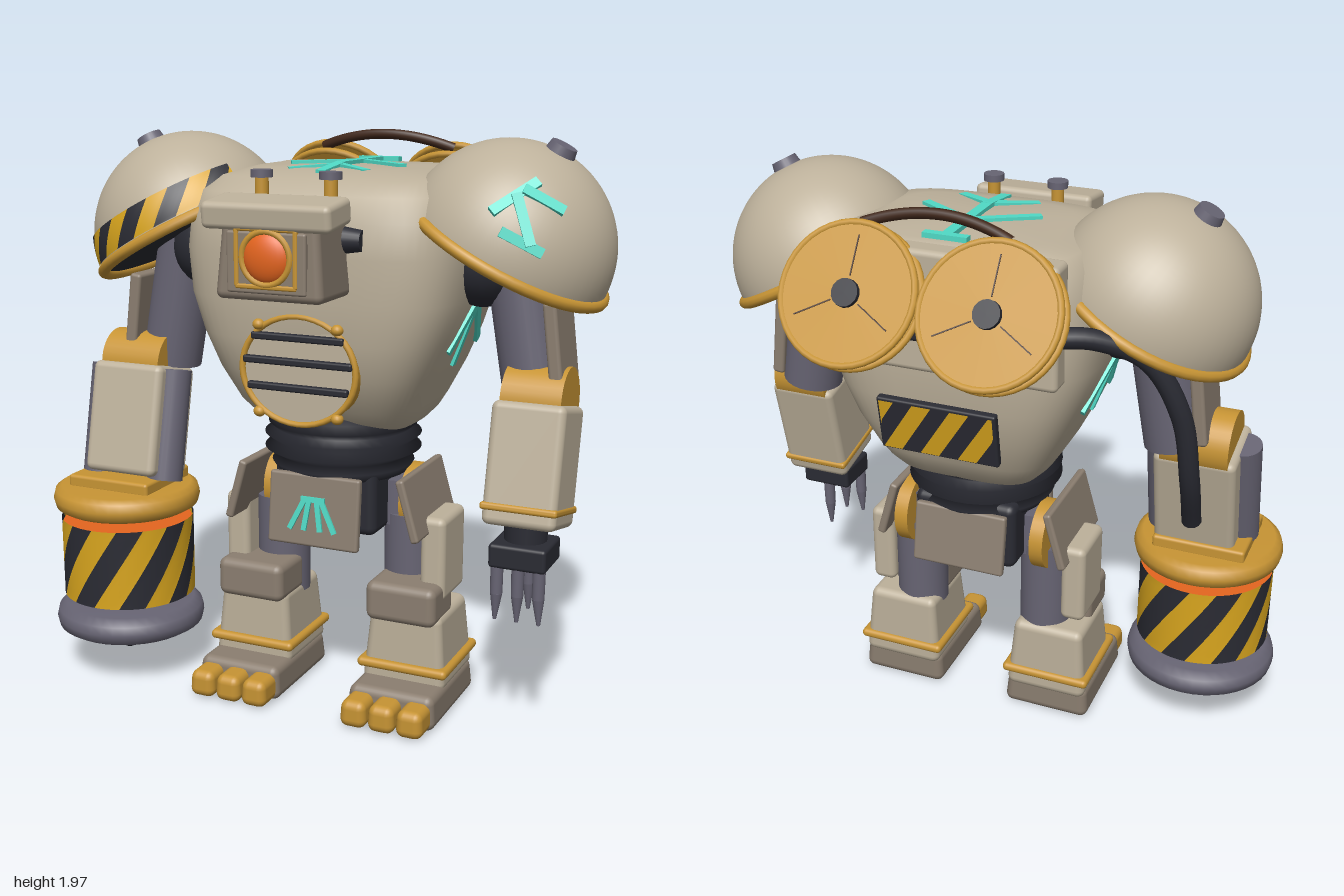
import * as THREE from 'three';
import { RoundedBoxGeometry } from 'three/addons/geometries/RoundedBoxGeometry.js';

const mat = (name, color, side = THREE.FrontSide) => {
  const m = new THREE.MeshStandardMaterial({ color, side });
  m.name = name;
  return m;
};
const V = (x, y, z) => new THREE.Vector3(x, y, z);
const UP = V(0, 1, 0), FRONT = V(0, 0, 1);

export function createModel() {
  const shell = mat('shell beige', 0xbdb19b), panel = mat('panel taupe', 0x8b7e70);
  const gold = mat('gold', 0xc79434, THREE.DoubleSide), dark = mat('charcoal', 0x2a2b33, THREE.DoubleSide);
  const yellow = mat('warning yellow', 0xd8a51e, THREE.DoubleSide);
  const steel = mat('steel', 0x676473), orange = mat('orange', 0xe5651f);
  const teal = mat('teal', 0x50dac6), brown = mat('brown', 0x40271a);

  const model = new THREE.Group();
  model.name = 'robot';
  const body = new THREE.Group();
  body.name = 'body';
  body.position.x = 0.067;
  model.add(body);

  const add = (parent, name, geo, m, x = 0, y = 0, z = 0) => {
    const mesh = new THREE.Mesh(geo, m);
    mesh.name = name;
    mesh.position.set(x, y, z);
    parent.add(mesh);
    return mesh;
  };
  const group = (parent, name, x = 0, y = 0, z = 0) => {
    const g = new THREE.Group();
    g.name = name;
    g.position.set(x, y, z);
    parent.add(g);
    return g;
  };
  // Rounded box, optionally tapered towards the top
  const rbox = (w, h, d, r = 0.02, top = 1) => {
    const g = new RoundedBoxGeometry(w, h, d, 3, r), p = g.attributes.position;
    for (let i = 0; i < p.count; i++) {
      const k = 1 + (top - 1) * (p.getY(i) / h + 0.5);
      p.setX(i, p.getX(i) * k);
      p.setZ(i, p.getZ(i) * k);
    }
    return g;
  };
  const cyl = (r1, r2, h, n = 32) => new THREE.CylinderGeometry(r1, r2, h, n);
  const rod = (parent, name, m, a, b, r1, r2 = r1) => {
    const mesh = add(parent, name, cyl(r2, r1, a.distanceTo(b), 24), m);
    mesh.position.copy(a).lerp(b, 0.5);
    mesh.quaternion.setFromUnitVectors(UP, b.clone().sub(a).normalize());
  };
  // Flat glowing bar from a to b, facing along the surface normal n
  const mark = (parent, a, b, n, t) => {
    const mesh = add(parent, 'glowMark', new THREE.BoxGeometry(t, a.distanceTo(b) + t * 0.4, 0.022), teal);
    const y = b.clone().sub(a).normalize(), x = y.clone().cross(n).normalize();
    mesh.position.copy(a).lerp(b, 0.5);
    mesh.quaternion.setFromRotationMatrix(new THREE.Matrix4().makeBasis(x, y, x.clone().cross(y)));
  };
  const lathe = (pts) => new THREE.LatheGeometry(pts.map(([r, y]) => new THREE.Vector2(r, y)), 40);

  // Diagonal two-colour stripes on any surface fn(u, v)
  const stripes = (parent, name, fn, n, shear, clamp) => {
    [yellow, dark].forEach((m, k) => {
      const pos = [], idx = [], nu = 4, nv = 10;
      for (let i = clamp ? k - 2 * n : k; i < n; i += 2) {
        const base = pos.length / 3;
        for (let a = 0; a <= nu; a++) for (let b = 0; b <= nv; b++) {
          let u = (i + a / nu) / n + shear * b / nv;
          if (clamp) u = Math.min(1, Math.max(0, u));
          pos.push(...fn(u, b / nv).toArray());
          if (a < nu && b < nv) {
            const q = base + a * (nv + 1) + b, r = q + nv + 1;
            idx.push(q, r, r + 1, q, r + 1, q + 1);
          }
        }
      }
      const g = new THREE.BufferGeometry();
      g.setAttribute('position', new THREE.Float32BufferAttribute(pos, 3));
      g.setIndex(idx);
      g.computeVertexNormals();
      add(parent, name, g, m);
    });
  };

  // Torso: superellipse rings [y, halfWidth, back, front]
  const rings = [[0.975, 0.01, 0, 0.02], [0.975, 0.2, -0.19, 0.12], [0.99, 0.255, -0.23, 0.17], [1.03, 0.295, -0.262, 0.245],
    [1.08, 0.325, -0.295, 0.3], [1.2, 0.385, -0.345, 0.36], [1.32, 0.435, -0.37, 0.39], [1.45, 0.478, -0.382, 0.4],
    [1.6, 0.49, -0.385, 0.405], [1.71, 0.48, -0.38, 0.395], [1.79, 0.455, -0.365, 0.36], [1.835, 0.41, -0.34, 0.28],
    [1.86, 0.31, -0.3, 0.17], [1.866, 0.01, -0.02, 0]];
  const N = 56, tp = [], ti = [];
  rings.forEach(([y, w, b, f], j) => {
    for (let i = 0; i < N; i++) {
      const a = i / N * Math.PI * 2, s = Math.sin(a), c = Math.cos(a), e = 0.5;
      tp.push(w * Math.sign(s) * Math.abs(s) ** e, y, (b + f) / 2 + (f - b) / 2 * Math.sign(c) * Math.abs(c) ** e);
      const q = j * N + i, r = j * N + (i + 1) % N;
      if (j < rings.length - 1) ti.push(q, r, r + N, q, r + N, q + N);
    }
  });
  const torso = new THREE.BufferGeometry();
  torso.setAttribute('position', new THREE.Float32BufferAttribute(tp, 3));
  torso.setIndex(ti);
  torso.computeVertexNormals();
  add(body, 'torso', torso, shell);
  add(body, 'backPlate', rbox(0.82, 0.41, 0.1, 0.02), shell, 0, 1.645, -0.34);

  // Torso markings
  mark(body, V(-0.07, 1.866, -0.285), V(0.07, 1.866, -0.285), UP, 0.03);
  mark(body, V(0, 1.866, -0.28), V(0, 1.868, 0.05), UP, 0.036);
  mark(body, V(0, 1.868, 0.05), V(0, 1.85, 0.21), UP, 0.036);
  for (const s of [1, -1]) {
    mark(body, V(0, 1.866, -0.12), V(s * 0.2, 1.862, 0.01), UP, 0.03);
    mark(body, V(0, 1.864, 0.075), V(s * 0.135, 1.852, 0.165), UP, 0.03);
    for (const [z, y, x] of [[-0.15, 1.28, 0.417], [0.02, 1.22, 0.393], [0.13, 1.28, 0.417]])
      mark(body, V(s * 0.476, 1.44, 0.02), V(s * x, y, z), V(s, -0.3, 0), 0.028);
  }

  // Chest grille
  const grille = group(body, 'grille', 0, 1.228, -0.01);
  grille.scale.y = 0.88;
  add(grille, 'grilleHousing', new THREE.CylinderGeometry(0.205, 0.205, 0.2, 40, 1, true), gold, 0, 0, 0.3).rotation.x = Math.PI / 2;
  add(grille, 'grilleFace', cyl(0.2, 0.2, 0.02), shell, 0, 0, 0.392).rotation.x = Math.PI / 2;
  add(grille, 'grilleRim', new THREE.TorusGeometry(0.203, 0.011, 10, 40), gold, 0, 0, 0.402);
  [[0.124, 0.165], [0.033, 0.195], [-0.065, 0.18]].forEach(([y, w]) =>
    add(grille, 'grilleBar', rbox(w * 2, 0.028, 0.03, 0.008), dark, 0, y, 0.405));
  for (const x of [-0.14, 0.14]) for (const y of [-0.165, 0.165])
    add(grille, 'grilleBolt', new THREE.SphereGeometry(0.021, 16, 10), gold, x, y, 0.405);

  // Head
  const head = group(body, 'head');
  add(head, 'headBox', rbox(0.37, 0.26, 0.3, 0.025, 0.88), panel, 0, 1.615, 0.46);
  add(head, 'visor', rbox(0.44, 0.085, 0.17, 0.02), shell, 0, 1.752, 0.545).rotation.x = 0.12;
  add(head, 'facePlate', rbox(0.27, 0.19, 0.02, 0.008), panel, 0, 1.605, 0.606);
  for (const s of [1, -1]) {
    add(head, 'eyeFrameSide', rbox(0.016, 0.18, 0.02, 0.006), gold, s * 0.1, 1.62, 0.61);
    add(head, 'eyeFrameBar', rbox(0.21, 0.016, 0.02, 0.006), gold, 0, 1.62 + s * 0.088, 0.61);
    add(head, 'antenna', cyl(0.022, 0.022, 0.14), gold, s * 0.12, 1.78, 0.4);
    add(head, 'antennaCap', cyl(0.036, 0.036, 0.024), steel, s * 0.12, 1.858, 0.4);
    add(head, 'ear', cyl(0.034, 0.045, 0.07, 20), dark, s * 0.19, 1.66, 0.39).rotation.z = -s * Math.PI / 2;
  }
  add(head, 'eyeRing', new THREE.TorusGeometry(0.082, 0.011, 10, 32), gold, 0, 1.62, 0.612);
  add(head, 'eye', new THREE.SphereGeometry(0.082, 28, 18), orange, 0, 1.62, 0.6).scale.z = 0.45;

  // Back reels, axles, handle and warning plate
  for (const s of [1, -1]) {
    const reel = group(body, 'reel', s * 0.235, 1.71, -0.485);
    reel.rotation.x = -1.02;
    for (const y of [-0.028, 0.028]) {
      add(reel, 'reelFlange', cyl(0.225, 0.225, 0.014, 40), gold, 0, y, 0);
      add(reel, 'reelRim', new THREE.TorusGeometry(0.225, 0.012, 8, 40), gold, 0, y, 0).rotation.x = Math.PI / 2;
    }
    add(reel, 'reelCore', cyl(0.14, 0.14, 0.05), gold);
    add(reel, 'reelHub', cyl(0.045, 0.052, 0.1, 16), dark);
    for (let i = 0; i < 3; i++) {
      const a = i * Math.PI * 2 / 3 + 0.5;
      add(reel, 'reelSlot', new THREE.BoxGeometry(0.13, 0.003, 0.004), brown, Math.cos(a) * 0.12, 0.036, -Math.sin(a) * 0.12).rotation.y = a;
    }
    rod(body, 'reelAxle', dark, V(s * 0.235, 1.62, -0.36), V(s * 0.235, 1.7, -0.47), 0.06);
  }
  add(body, 'reelMount', rbox(0.56, 0.1, 0.08, 0.015), dark, 0, 1.62, -0.41);
  const handle = new THREE.QuadraticBezierCurve3(V(-0.25, 1.905, -0.36), V(0, 2.0, -0.3), V(0.25, 1.905, -0.36));
  add(body, 'handle', new THREE.TubeGeometry(handle, 24, 0.018, 10), brown);
  const warn = group(body, 'warningPlate', 0, 1.235, -0.37);
  warn.rotation.x = -0.17;
  add(warn, 'warningBacking', rbox(0.42, 0.2, 0.03, 0.008), dark);
  stripes(warn, 'warningStripes', (u, v) => V(0.2 - 0.4 * u, -0.092 + 0.184 * v, -0.018), 6, 0.3, true);

  // Waist bellows, pelvis and skirt plates
  add(body, 'waist', lathe([[0, 0.82], [0.23, 0.82], [0.25, 0.85], [0.23, 0.875], [0.275, 0.9], [0.24, 0.925], [0.275, 0.95],
    [0.24, 0.97], [0.262, 0.99], [0.262, 1.025], [0.25, 1.06], [0, 1.06]]), dark, 0, 0, 0.03);
  add(body, 'pelvis', rbox(0.38, 0.25, 0.38, 0.03), dark, 0, 0.75, 0.01);
  const front = add(body, 'frontSkirt', rbox(0.335, 0.25, 0.03, 0.01), panel, 0, 0.72, 0.27);
  front.rotation.x = -0.1;
  for (const s of [1, -1]) {
    mark(front, V(s * 0.03, 0.04, 0.012), V(s * 0.082, -0.065, 0.012), FRONT, 0.018);
    mark(front, V(s * 0.014, 0.04, 0.012), V(s * 0.03, -0.065, 0.012), FRONT, 0.018);
  }
  mark(front, V(-0.04, 0.04, 0.012), V(0.04, 0.04, 0.012), FRONT, 0.018);
  add(body, 'backSkirt', rbox(0.34, 0.22, 0.03, 0.01), panel, 0, 0.74, -0.215).rotation.x = 0.17;

  // Legs
  for (const s of [1, -1]) {
    const leg = group(body, 'leg');
    add(leg, 'sideSkirt', rbox(0.03, 0.22, 0.38, 0.01), panel, s * 0.322, 0.745, 0.05).rotation.z = s * 0.28;
    add(leg, 'hipDisc', cyl(0.125, 0.125, 0.05), gold, s * 0.26, 0.718, -0.03).rotation.z = Math.PI / 2;
    add(leg, 'thigh', cyl(0.095, 0.095, 0.36), steel, s * 0.25, 0.5, 0.0);
    add(leg, 'thighTop', cyl(0.08, 0.08, 0.16), steel, s * 0.2, 0.72, 0.0);
    add(leg, 'thighGuard', rbox(0.09, 0.3, 0.22, 0.025), shell, s * 0.375, 0.55, 0.025);
    add(leg, 'knee', rbox(0.255, 0.14, 0.2, 0.03), panel, s * 0.288, 0.4, 0.115);
    add(leg, 'shin', rbox(0.305, 0.27, 0.32, 0.03, 0.85), shell, s * 0.292, 0.225, 0.03);
    add(leg, 'ankleBand', rbox(0.33, 0.034, 0.34, 0.016), gold, s * 0.292, 0.163, 0.033);
    add(leg, 'foot', rbox(0.325, 0.12, 0.43, 0.03, 0.94), panel, s * 0.292, 0.06, 0.095);
    for (const t of [-1, 0, 1])
      add(leg, 'toe', rbox(0.098, 0.095, 0.14, 0.03, 0.9), gold, s * 0.292 + t * 0.102, 0.052, 0.325);
  }

  // Shoulders and upper arms, shared by both sides
  const R = 0.35, cy = 1.617, cz = 0.04, cx = 0.58;
  for (const s of [1, -1]) {
    const dome = group(body, s > 0 ? 'leftShoulder' : 'rightShoulder', s * cx, cy, cz);
    dome.rotation.z = -s * 0.49;
    add(dome, 'shoulderDome', new THREE.SphereGeometry(R, 48, 24, 0, Math.PI * 2, 0, Math.PI / 2), shell);
    add(dome, 'shoulderUnderside', cyl(R - 0.005, R - 0.005, 0.01, 40), dark, 0, 0.006, 0);
    add(dome, 'shoulderRim', new THREE.TorusGeometry(R, 0.02, 10, 48), gold).rotation.x = Math.PI / 2;
    add(dome, 'shoulderKnob', cyl(0.044, 0.054, 0.05, 24), steel, 0, R, 0);
    if (s < 0) stripes(dome, 'shoulderStripes', (u, v) => {
      const a = -1.02 + 2.17 * u, e = 0.06 + 0.29 * v, r = R + 0.006;
      return V(r * Math.cos(e) * Math.sin(a), r * Math.sin(e), r * Math.cos(e) * Math.cos(a));
    }, 9, 0.13, true);
    add(body, 'shoulderJoint', new THREE.SphereGeometry(0.15, 24, 16), dark, s * 0.5, 1.57, 0.03);
    rod(body, 'upperArm', steel, V(s * 0.61, 1.6, 0.02), V(s * 0.69, 1.14, 0.03), 0.107);
    add(body, 'upperArmGuard', rbox(0.045, 0.3, 0.21, 0.012), panel, s * 0.775, 1.32, 0.055).rotation.z = s * 0.12;
  }

  // Left shoulder markings, laid on the dome
  const centre = V(cx, cy, cz);
  const onDome = (x, y) => V(x, y, cz + Math.sqrt(Math.max(0, 0.352 ** 2 - (x - cx) ** 2 - (y - cy) ** 2)));
  [[0.63, 1.765, 0.735, 1.845], [0.69, 1.81, 0.745, 1.67], [0.71, 1.825, 0.815, 1.765], [0.665, 1.705, 0.775, 1.645]]
    .forEach(([a, b, c, d]) => mark(body, onDome(a, b), onDome(c, d), onDome((a + c) / 2, (b + d) / 2).sub(centre), 0.032));

  // Forearms, hung from gold elbows
  const forearm = (name, x, w) => {
    const g = group(body, name, x, 1.138, 0.085);
    g.rotation.x = -0.22;
    add(g, 'elbow', cyl(0.116, 0.116, w * 0.82), gold).rotation.z = Math.PI / 2;
    add(g, 'elbowBlock', rbox(w * 0.8, 0.1, 0.2, 0.01), gold, 0, -0.03, 0);
    add(g, 'forearmShell', rbox(w, 0.4, 0.25, 0.025), shell, 0, -0.21, 0.01);
    return g;
  };
  const left = forearm('leftForearm', 0.72, 0.245);
  add(left, 'wristBand', rbox(0.255, 0.025, 0.265, 0.01), gold, 0, -0.35, 0.01);
  const hand = group(body, 'leftHand', 0.725, 0.665, 0.22);
  add(hand, 'palm', rbox(0.19, 0.08, 0.18, 0.012), dark);
  add(hand, 'wrist', cyl(0.07, 0.07, 0.1, 20), dark, 0, 0.06, -0.01);
  for (const [x, z] of [[-0.07, 0.065], [0, 0.065], [0.07, 0.065], [0, -0.065]]) {
    rod(hand, 'finger', steel, V(x, -0.03, z), V(x, -0.13, z), 0.021, 0.02);
    rod(hand, 'fingerTip', steel, V(x, -0.13, z), V(x * 1.05, -0.22, z), 0.02, 0.006);
  }

  const right = forearm('rightForearm', -0.767, 0.285);
  for (const s of [1, -1])
    add(right, 'piston', cyl(0.065, 0.065, 0.4, 24), steel, s * 0.135, -0.22, 0.03);

  // Drum weapon on the right arm
  const drum = group(body, 'drum', -0.79, 0, 0.21);
  add(drum, 'drumMount', rbox(0.33, 0.05, 0.3, 0.012), gold, 0, 0.725, -0.02);
  add(drum, 'drumFlange', lathe([[0, 0.622], [0.235, 0.622], [0.258, 0.635], [0.266, 0.665], [0.258, 0.695], [0.235, 0.71], [0, 0.71]]), gold);
  stripes(drum, 'drumStripes', (u, v) => V(0.24 * Math.sin(u * Math.PI * 2), 0.3 + 0.29 * v, 0.24 * Math.cos(u * Math.PI * 2)), 16, 0.125, false);
  for (const y of [0.325, 0.565]) add(drum, 'drumGlow', cyl(0.236, 0.236, 0.008, 40), orange, 0, y, 0);
  add(drum, 'drumBase', lathe([[0, 0.165], [0.24, 0.165], [0.265, 0.18], [0.272, 0.21], [0.265, 0.24], [0.235, 0.265], [0, 0.268]]), steel);
  for (let i = 0; i < 7; i++) {
    const a = i * Math.PI / 3, r = i < 6 ? 0.155 : 0;
    add(drum, 'drumStud', new THREE.SphereGeometry(0.036, 16, 12), dark, r * Math.cos(a), 0.158, r * Math.sin(a)).scale.y = 0.8;
  }

  // Feed hose from reels to the drum arm
  const hose = new THREE.CatmullRomCurve3([V(-0.36, 1.63, -0.41), V(-0.51, 1.62, -0.33), V(-0.66, 1.54, -0.25),
    V(-0.76, 1.35, -0.2), V(-0.79, 1.1, -0.15), V(-0.785, 0.9, -0.06)]);
  add(body, 'feedHose', new THREE.TubeGeometry(hose, 40, 0.034, 12), dark);
  return model;
}
